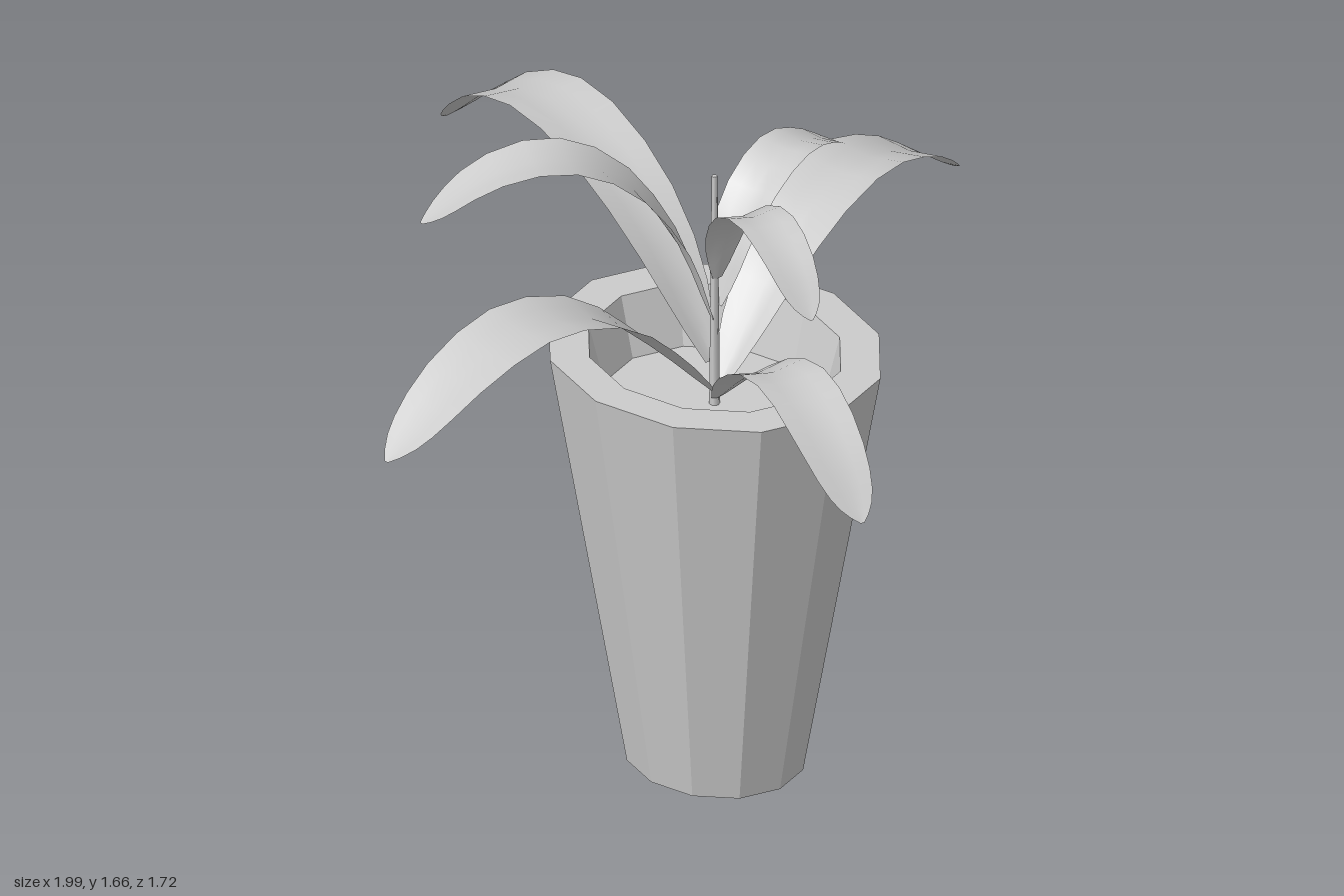
import * as THREE from 'three';

const STEM_X = 0.02, STEM_Z = 0.155;

// Arching leaf: a curve through the points, swept with a shallow channel section.
function makeLeaf(name, points, width, material) {
  const curve = new THREE.CatmullRomCurve3(points.map(p => new THREE.Vector3(...p)));
  const profile = new THREE.CatmullRomCurve3(
    [[0, 0.18], [0.14, 0.62], [0.32, 0.9], [0.52, 1], [0.7, 0.97], [0.86, 0.78], [0.95, 0.48], [1, 0.06]]
      .map(([t, w]) => new THREE.Vector3(t, w, 0)));
  const rows = 14, cols = 4;
  const pos = [], index = [];
  const tip = points[points.length - 1];
  const side = new THREE.Vector3(-(tip[2] - points[0][2]), 0, tip[0] - points[0][0]).normalize();
  for (let i = 0; i <= rows; i++) {
    const s = profile.getPoint(i / rows);
    const t = THREE.MathUtils.clamp(s.x, 0, 1);
    const c = curve.getPointAt(t);
    const up = new THREE.Vector3().crossVectors(side, curve.getTangentAt(t)).normalize();
    if (up.y < 0) up.negate();
    const half = s.y * width / 2;
    for (let j = 0; j <= cols; j++) {
      const u = j / cols * 2 - 1;
      const lift = 0.22 * half * (Math.abs(u) - 0.5) * (1 - 0.6 * t);
      const v = c.clone().addScaledVector(side, u * half).addScaledVector(up, lift);
      pos.push(v.x, v.y, v.z);
      if (i < rows && j < cols) {
        const a = i * (cols + 1) + j, b = a + cols + 1;
        index.push(a, a + 1, b, a + 1, b + 1, b);
      }
    }
  }
  const geo = new THREE.BufferGeometry();
  geo.setAttribute('position', new THREE.Float32BufferAttribute(pos, 3));
  geo.setIndex(index);
  geo.computeVertexNormals();
  const mesh = new THREE.Mesh(geo, material);
  mesh.name = name;
  return mesh;
}

export function createModel() {
  const group = new THREE.Group();
  group.name = 'pottedPlant';
  const potMat = new THREE.MeshStandardMaterial({ color: 0xcccccc, flatShading: true });
  const leafMat = new THREE.MeshStandardMaterial({ color: 0xcccccc, side: THREE.DoubleSide });

  // Twelve-sided tapered pot with rim, inner wall and soil, slightly deeper than wide
  const add = (name, profile) => {
    const geo = new THREE.LatheGeometry(profile.map(p => new THREE.Vector2(...p)), 12);
    geo.scale(1, 1, 0.425 / 0.375);
    const mesh = new THREE.Mesh(geo, potMat);
    mesh.position.set(STEM_X, 0, STEM_Z);
    mesh.name = name;
    group.add(mesh);
  };
  add('pot', [[0, 0], [0.2, 0], [0.375, 1.09], [0.285, 1.09], [0.25, 0.94]]);
  add('soil', [[0.25, 0.94], [0, 0.94]]);

  // Stem
  const stem = new THREE.Mesh(new THREE.CylinderGeometry(0.007, 0.013, 0.61, 6), leafMat);
  stem.position.set(STEM_X, 1.245, STEM_Z);
  stem.name = 'stem';
  group.add(stem);

  // Leaves: path points from stem to tip, then full width
  const leaves = [
    ['lowerLeftLeaf', [[0.03, 0.98, 0.155], [0.18, 1.17, 0.135], [0.34, 1.29, 0.1], [0.55, 1.34, 0.05],
      [0.76, 1.27, -0.01], [0.99, 1.1, -0.09]], 0.2],
    ['lowerRightLeaf', [[0.01, 0.98, 0.155], [-0.18, 1.18, 0.15], [-0.34, 1.31, 0.147], [-0.56, 1.37, 0.145],
      [-0.76, 1.32, 0.142], [-1, 1.17, 0.14]], 0.21],
    ['lowerBackLeaf', [[0.02, 1.05, 0.145], [0.015, 1.28, 0], [0.015, 1.44, -0.18], [0.03, 1.51, -0.4],
      [0.06, 1.45, -0.62], [0.1, 1.25, -0.86]], 0.21],
    ['lowerFrontLeaf', [[0.02, 0.96, 0.165], [-0.02, 1.1, 0.31], [-0.055, 1.18, 0.44], [-0.085, 1.195, 0.56],
      [-0.12, 1.13, 0.7], [-0.155, 0.985, 0.86]], 0.175],
    ['upperRightLeaf', [[0.015, 1.17, 0.15], [-0.06, 1.4, 0.11], [-0.18, 1.58, 0.05], [-0.32, 1.655, -0.02],
      [-0.46, 1.63, -0.1], [-0.6, 1.52, -0.18]], 0.18],
    ['upperLeftLeaf', [[0.03, 1.2, 0.155], [0.09, 1.37, 0.147], [0.18, 1.475, 0.135], [0.29, 1.515, 0.115],
      [0.4, 1.48, 0.085], [0.505, 1.41, 0.05]], 0.14],
    ['upperFrontLeaf', [[0.02, 1.28, 0.165], [0, 1.43, 0.22], [-0.03, 1.535, 0.31], [-0.055, 1.565, 0.41],
      [-0.085, 1.53, 0.52], [-0.115, 1.42, 0.64]], 0.135],
  ];
  for (const [name, path, width] of leaves) group.add(makeLeaf(name, path, width, leafMat));
  return group;
}
